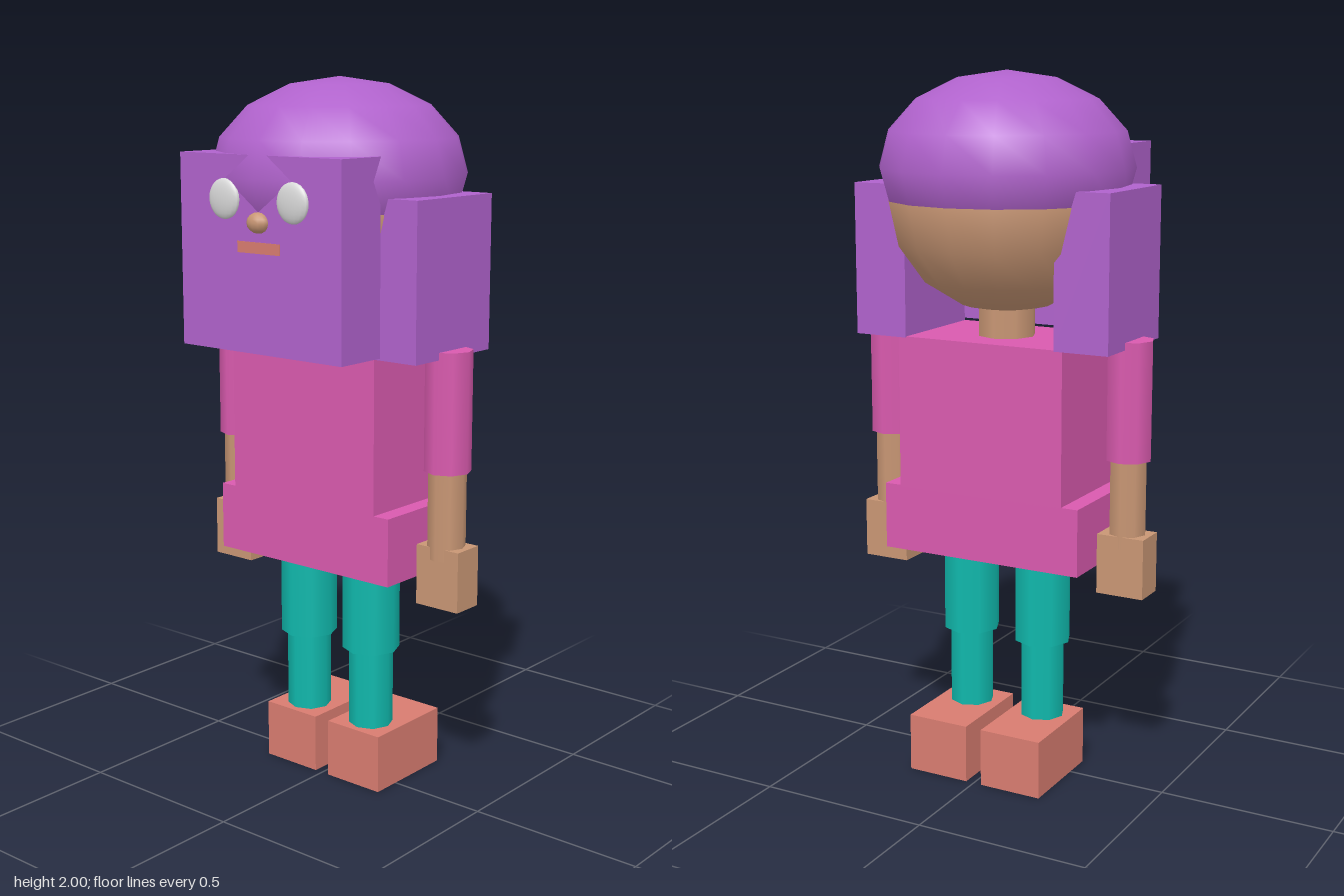
import * as THREE from 'three';

const mat = (name, color) => {
  const m = new THREE.MeshStandardMaterial({ color });
  m.name = name;
  return m;
};

export function createModel() {
  const model = new THREE.Group();
  model.name = 'figure';

  const purple = mat('purple hair', 0xb062cc);
  const pink = mat('pink dress', 0xd95aae);
  const skin = mat('skin', 0xc89674);
  const teal = mat('teal trousers', 0x10b8ac);
  const coral = mat('coral shoes', 0xd87c70);
  const white = mat('eye white', 0xd8d8d8);

  const add = (name, geometry, material, x, y, z) => {
    const mesh = new THREE.Mesh(geometry, material);
    mesh.name = name;
    mesh.position.set(x, y, z);
    model.add(mesh);
    return mesh;
  };
  // Box given by its extents on each axis
  const box = (name, material, [x0, x1], [y0, y1], [z0, z1]) =>
    add(name, new THREE.BoxGeometry(x1 - x0, y1 - y0, z1 - z0), material,
      (x0 + x1) / 2, (y0 + y1) / 2, (z0 + z1) / 2);
  // Eight-sided upright limb
  const limb = (name, material, r, x, y0, y1) =>
    add(name, new THREE.CylinderGeometry(r, r, y1 - y0, 8), material, x, (y0 + y1) / 2, 0);
  const ellipsoid = (name, material, rx, ry, rz, x, y, z, w = 16, h = 12) =>
    add(name, new THREE.SphereGeometry(1, w, h), material, x, y, z).scale.set(rx, ry, rz);

  // Dress and neck
  box('bodice', pink, [-0.255, 0.255], [0.84, 1.275], [-0.165, 0.165]);
  box('hem', pink, [-0.305, 0.305], [0.655, 0.845], [-0.165, 0.165]);
  limb('neck', skin, 0.082, 0, 1.25, 1.42);

  // Head, hair cap and the block in front of it
  ellipsoid('head', skin, 0.332, 0.31, 0.332, 0, 1.65, 0, 16, 8);
  ellipsoid('hairCap', purple, 0.355, 0.26, 0.355, 0, 1.74, 0, 16, 8);
  box('frontHair', purple, [-0.282, 0.282], [1.28, 1.802], [0.175, 0.332]);

  // Nose and mouth
  ellipsoid('nose', skin, 0.035, 0.028, 0.026, 0, 1.628, 0.332, 12, 8);
  box('mouth', coral, [-0.075, 0.075], [1.547, 1.577], [0.328, 0.333]);

  for (const [side, s] of [['left', 1], ['right', -1]]) {
    // Box mirrored across the middle
    const sideBox = (name, material, [x0, x1], y, z) =>
      box(side + name, material, s > 0 ? [x0, x1] : [-x1, -x0], y, z);

    ellipsoid(side + 'Eye', white, 0.054, 0.054, 0.016, s * 0.12, 1.685, 0.332);
    sideBox('SideHair', purple, [0.23, 0.39], [1.272, 1.695], [-0.167, 0.162]);

    // Arm
    limb(side + 'Sleeve', pink, 0.065, s * 0.379, 0.96, 1.292);
    limb(side + 'Forearm', skin, 0.053, s * 0.379, 0.715, 0.98);
    sideBox('Hand', skin, [0.31, 0.449], [0.58, 0.75], [-0.051, 0.043]);

    // Leg
    limb(side + 'Thigh', teal, 0.082, s * 0.117, 0.397, 0.66);
    limb(side + 'Calf', teal, 0.064, s * 0.117, 0.15, 0.41);
    sideBox('Shoe', coral, [0.024, 0.21], [0, 0.168], [-0.202, 0.082]);
  }

  return model;
}
